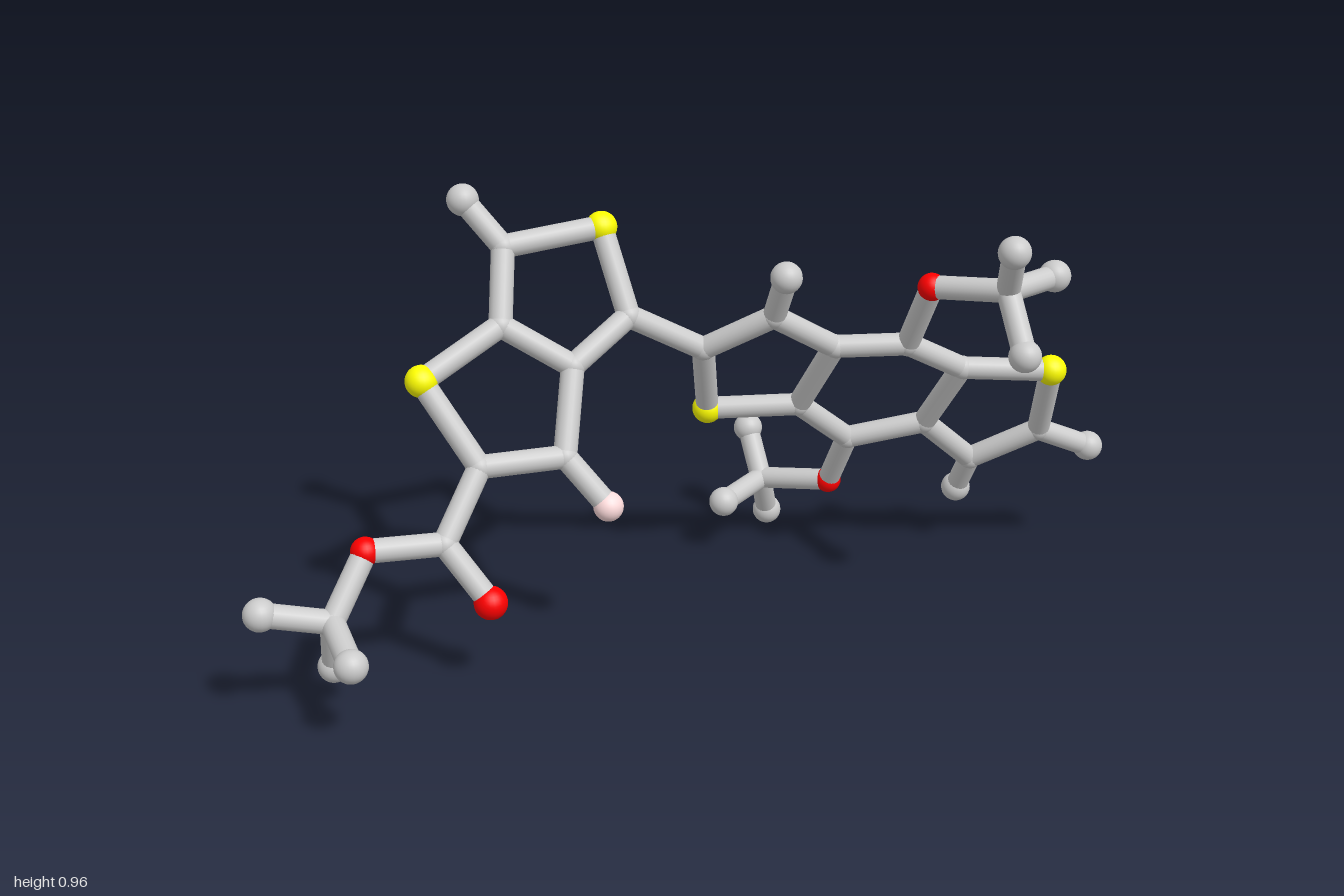
import * as THREE from 'three';

const BOND_R = 0.025;
const grey = new THREE.MeshStandardMaterial({ color: 0xcccccc });
const yellow = new THREE.MeshStandardMaterial({ color: 0xffff00 });
const red = new THREE.MeshStandardMaterial({ color: 0xff0000 });
const pink = new THREE.MeshStandardMaterial({ color: 0xffdddd });

// Kinds of atom: name, ball radius, material
const KINDS = {
  joint: ['carbonJoint', 0.027, grey],
  end: ['carbonEnd', 0.034, grey],
  sulfur: ['sulfur', 0.034, yellow],
  bridge: ['bridgeOxygen', 0.03, red],
  oxygen: ['endOxygen', 0.035, red],
  fluorine: ['fluorine', 0.032, pink],
};

// Each fused ring system is flat, so depth follows from x and y
const leftPlane = (x, y) => 0.286 - 0.53 * y;
const rightPlane = (x, y) => -0.428 + 0.329 * x + 0.588 * y;

// Atoms: kind, x, y; bonds: pairs of atom keys
const leftRings = {
  plane: leftPlane,
  atoms: {
    methyl: ['end', -0.435, 0.934], a: ['joint', -0.366, 0.84], s1: ['sulfur', -0.147, 0.857],
    link: ['joint', -0.12, 0.684], b: ['joint', -0.259, 0.604], c: ['joint', -0.398, 0.695],
    s2: ['sulfur', -0.58, 0.612], d: ['joint', -0.489, 0.444], e: ['joint', -0.307, 0.44],
    f: ['fluorine', -0.232, 0.338], ester: ['joint', -0.585, 0.317],
    o1: ['oxygen', -0.51, 0.2], o2: ['bridge', -0.745, 0.326],
  },
  bonds: 'methyl-a a-s1 s1-link link-b b-c c-a c-s2 s2-d d-e e-b e-f d-ester ester-o1 ester-o2',
};

const rightRings = {
  plane: rightPlane,
  atoms: {
    link: ['joint', 0.045, 0.593], a: ['joint', 0.17, 0.68], m1: ['end', 0.17, 0.785],
    s1: ['sulfur', 0.09, 0.415], b: ['joint', 0.315, 0.593], c: ['joint', 0.283, 0.422],
    d: ['joint', 0.465, 0.597], o1: ['bridge', 0.467, 0.755], e: ['joint', 0.6, 0.525],
    f: ['joint', 0.57, 0.36], g: ['joint', 0.415, 0.315], o2: ['bridge', 0.41, 0.174],
    s2: ['sulfur', 0.793, 0.513], h: ['joint', 0.83, 0.33], m2: ['end', 0.96, 0.273],
    i: ['joint', 0.708, 0.24], m3: ['end', 0.708, 0.142],
  },
  bonds: 'link-a a-m1 link-s1 s1-c c-b b-a b-d d-o1 d-e e-f f-g g-c g-o2 e-s2 s2-h h-m2 h-i i-m3 i-f',
};

// Three-armed end groups: centre, then the three arm ends
const branches = [
  ['esterBranch', leftRings, 'o2',
    [[-0.83, 0.213, 0.173], [-0.967, 0.25, 0.162], [-0.825, 0.089, 0.125], [-0.823, 0.187, 0.314]]],
  ['upperBranch', rightRings, 'o1',
    [[0.575, 0.773, 0.297], [0.543, 0.878, 0.367], [0.704, 0.78, 0.263], [0.57, 0.662, 0.388]]],
  ['lowerBranch', rightRings, 'o2',
    [[0.29, 0.148, -0.313], [0.286, 0.25, -0.387], [0.168, 0.132, -0.247], [0.327, 0.038, -0.361]]],
];

function addAtom(parent, kind, position) {
  const [name, radius, material] = KINDS[kind];
  const ball = new THREE.Mesh(new THREE.SphereGeometry(radius, 24, 16), material);
  ball.name = name;
  ball.position.copy(position);
  parent.add(ball);
}

function addBond(parent, p, q) {
  const dir = q.clone().sub(p);
  const rod = new THREE.Mesh(new THREE.CylinderGeometry(BOND_R, BOND_R, dir.length(), 20, 1, true), grey);
  rod.name = 'bond';
  rod.position.copy(p).add(q).multiplyScalar(0.5);
  rod.quaternion.setFromUnitVectors(new THREE.Vector3(0, 1, 0), dir.normalize());
  parent.add(rod);
}

function locate(system, key) {
  const [, x, y] = system.atoms[key];
  return new THREE.Vector3(x, y, system.plane(x, y));
}

function buildRings(name, system) {
  const group = new THREE.Group();
  group.name = name;
  for (const key in system.atoms) addAtom(group, system.atoms[key][0], locate(system, key));
  for (const pair of system.bonds.split(' ')) {
    const [p, q] = pair.split('-');
    addBond(group, locate(system, p), locate(system, q));
  }
  return group;
}

export function createModel() {
  const model = new THREE.Group();
  model.name = 'molecule';

  // Two flat ring systems and the bond joining them
  model.add(buildRings('leftRings', leftRings), buildRings('rightRings', rightRings));
  addBond(model, locate(leftRings, 'link'), locate(rightRings, 'link'));

  // Branched ends hanging from the bridge oxygens
  for (const [name, system, root, points] of branches) {
    const group = new THREE.Group();
    group.name = name;
    const [centre, ...ends] = points.map((p) => new THREE.Vector3(...p));
    addAtom(group, 'joint', centre);
    addBond(group, locate(system, root), centre);
    for (const end of ends) {
      addAtom(group, 'end', end);
      addBond(group, centre, end);
    }
    model.add(group);
  }
  return model;
}
